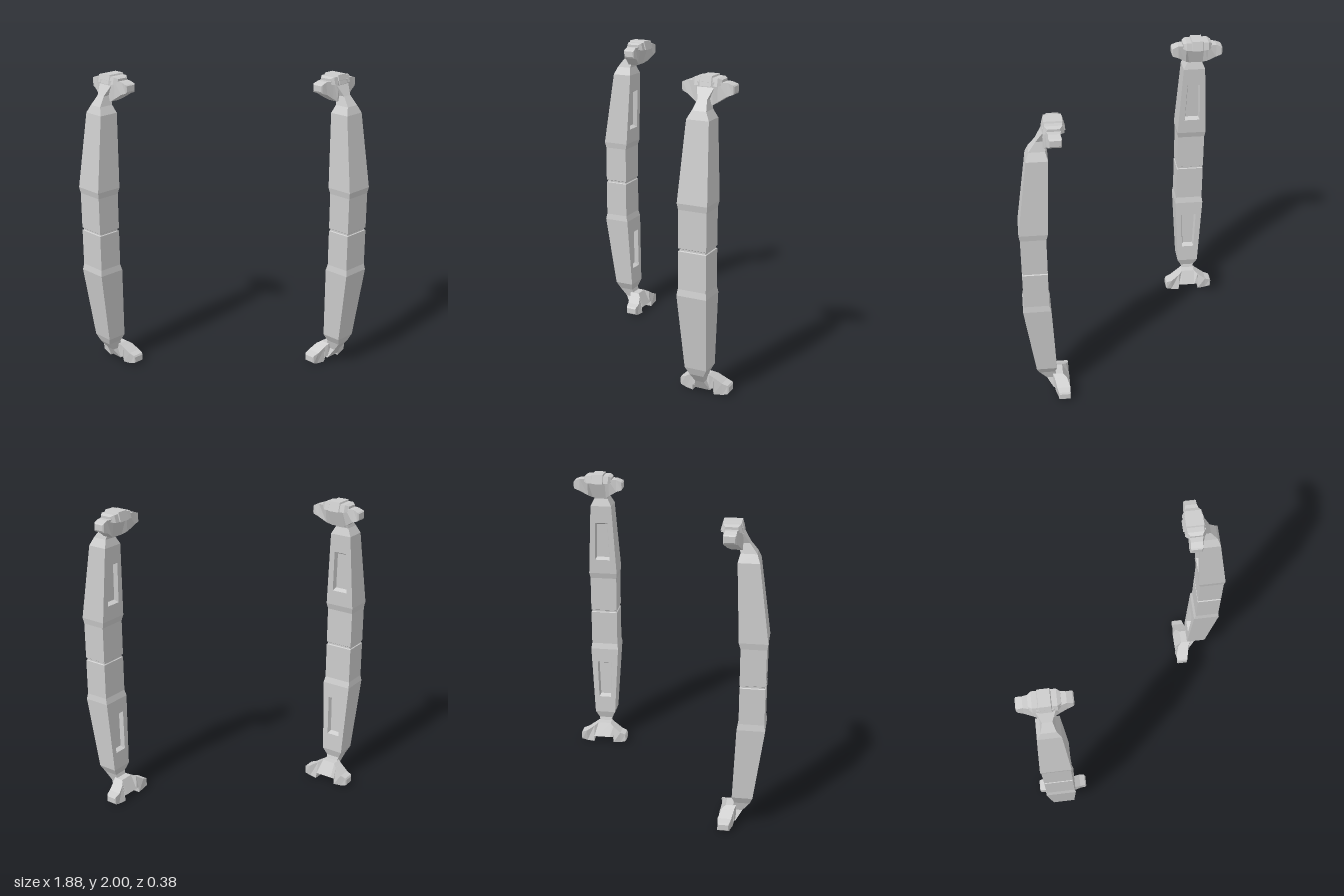
import * as THREE from 'three';

// Pillar space: x = sideways, y = up, z = outward (recessed face looks to -z).
const MID = 0.9825; // mirror plane between the two halves

const material = new THREE.MeshStandardMaterial({ color: 0xcccccc, flatShading: true });

// Collects quads given counter-clockwise as seen from outside.
class Quads {
  constructor() { this.pos = []; }
  add(a, b, c, d) { this.pos.push(...a, ...b, ...c, ...a, ...c, ...d); }
  loft(rings, skip = () => false) {
    for (let r = 0; r < rings.length - 1; r++) {
      const a = rings[r], b = rings[r + 1];
      for (let i = 0; i < 4; i++) {
        const j = (i + 1) % 4;
        if (!skip(r, i)) this.add(a[i], a[j], b[j], b[i]);
      }
    }
    const s = rings[0];
    this.add(s[3], s[2], s[1], s[0]);
    this.add(...rings[rings.length - 1]);
    return this;
  }
  mesh(name, flip) {
    const p = this.pos.slice();
    if (flip) {
      // mirror in y and swap two corners to keep faces outward
      for (let i = 0; i < p.length; i += 9) {
        for (let k = 1; k < 9; k += 3) p[i + k] = 2 * MID - p[i + k];
        for (let k = 3; k < 6; k++) [p[i + k], p[i + k + 3]] = [p[i + k + 3], p[i + k]];
      }
    }
    const g = new THREE.BufferGeometry();
    g.setAttribute('position', new THREE.Float32BufferAttribute(p, 3));
    g.computeVertexNormals();
    const m = new THREE.Mesh(g, material);
    m.name = name;
    return m;
  }
}

// Horizontal section: height, half width, inner z, outer z
const level = ([y, w, zi, zo]) => [[-w, y, zo], [w, y, zo], [w, y, zi], [-w, y, zi]];

// Upright section across x: x, bottom y, top y, inner z at bottom and top, outer z at bottom and top
const slice = ([x, yb, yt, zib, zit, zob, zot]) =>
  [[x, yb, zob], [x, yb, zib], [x, yt, zit], [x, yt, zot]];

const mirrored = half => [...half, ...half.slice().reverse().map(([x, ...r]) => [-x, ...r])].map(slice);

// Half column with a tapered recess on its inner face, then the neck
function column(name, flip) {
  const rings = [
    [MID, 0.086, 0.011, 0.157],
    [0.988, 0.086, 0.011, 0.157],
    [0.992, 0.092, 0.005, 0.163],
    [1.23, 0.092, 0.005, 0.163],
    [1.27, 0.098, -0.006, 0.17],
    [1.76, 0.072, -0.027, 0.104],
    [1.81, 0.046, -0.012, 0.085],
    [1.87, 0.03, -0.03, 0.04],
    [1.935, 0.055, -0.08, 0.0],
  ].map(level);
  const q = new Quads().loft(rings, (r, i) => r === 4 && i === 2);
  const a = rings[4], b = rings[5];
  const onFace = (x, y, depth = 0) =>
    [x, y, THREE.MathUtils.mapLinear(y, 1.27, 1.76, a[2][2], b[2][2]) + depth];
  const outline = (y0, y1, w0, w1, d) =>
    [onFace(w0, y0, d), onFace(-w0, y0, d), onFace(-w1, y1, d), onFace(w1, y1, d)];
  const outer = [a[2], a[3], b[3], b[2]];
  const rim = outline(1.37, 1.64, 0.052, 0.043, 0);
  const floor = outline(1.385, 1.625, 0.044, 0.035, 0.03);
  for (let i = 0; i < 4; i++) {
    const j = (i + 1) % 4;
    q.add(outer[i], outer[j], rim[j], rim[i]);
    q.add(rim[i], rim[j], floor[j], floor[i]);
  }
  q.add(...floor);
  return q.mesh(name, flip);
}

// Cross arm with tapered ends; the foot version is notched in the middle
function crossArm(name, flip, notch) {
  const half = [
    [-0.167, 1.908, 1.945, -0.1, -0.1, -0.036, -0.036],
    [-0.16, 1.897, 1.952, -0.106, -0.106, -0.03, -0.03],
    [-0.125, 1.885, 1.965, -0.108, -0.1, -0.022, -0.03],
    [-0.072, 1.85, 1.965, -0.09, -0.11, -0.01, -0.015],
  ];
  if (notch) half.push([-0.07, 1.849, 1.925, -0.09, -0.108, -0.01, -0.008]);
  half.push([-0.045, 1.832, notch ? 1.925 : 1.965, -0.065, -0.11, 0.0, 0.0]);
  return new Quads().loft(mirrored(half)).mesh(name, flip);
}

// Locking block on top with a raised centre band
function topBlock() {
  return new Quads().loft(mirrored([
    [-0.094, 1.948, 1.98, -0.105, -0.1, -0.022, -0.027],
    [-0.072, 1.942, 1.99, -0.127, -0.115, 0.0, -0.012],
    [-0.04, 1.942, 1.99, -0.127, -0.115, 0.0, -0.012],
    [-0.036, 1.94, 2.0, -0.134, -0.118, 0.006, -0.009],
  ])).mesh('topBlock', false);
}

function pillar(name, side) {
  const g = new THREE.Group();
  g.name = name;
  g.add(
    column('upperColumn', false),
    column('lowerColumn', true),
    crossArm('headArm', false, false),
    crossArm('footArm', true, true),
    topBlock(),
  );
  g.position.x = side * 0.75;
  g.rotation.y = side * Math.PI / 4;
  return g;
}

export function createModel() {
  const model = new THREE.Group();
  model.name = 'pillarPair';
  model.add(pillar('leftPillar', 1), pillar('rightPillar', -1));
  return model;
}
